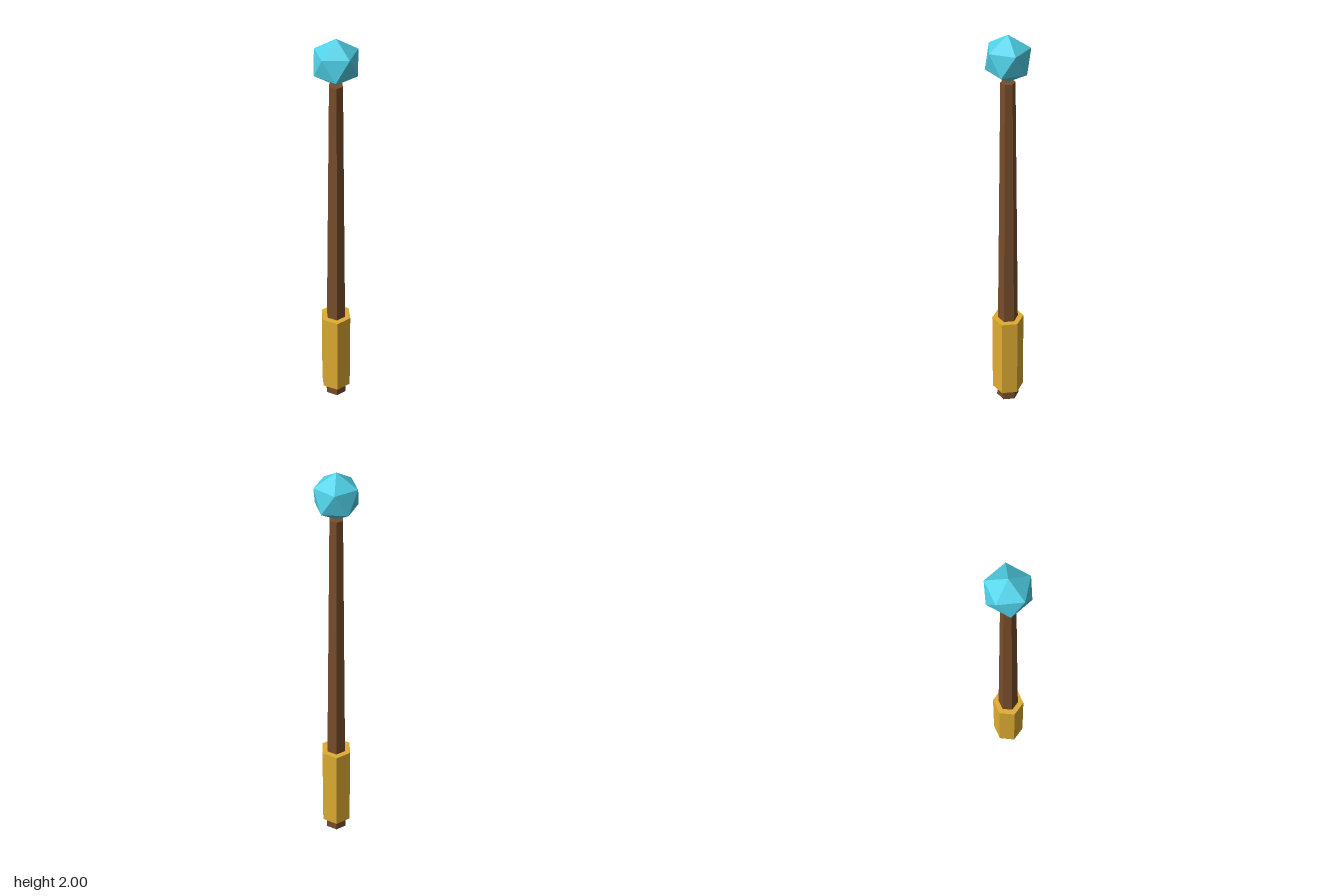
import * as THREE from 'three';

const SIDES = 6;

function addPart(group, name, geometry, color, y) {
  const material = new THREE.MeshStandardMaterial({ color, flatShading: true });
  const mesh = new THREE.Mesh(geometry, material);
  mesh.name = name;
  mesh.position.y = y;
  group.add(mesh);
}

// Hexagonal prism between two heights, with corners on +z and -z
function addRod(group, name, rTop, rBottom, y0, y1, color) {
  const geometry = new THREE.CylinderGeometry(rTop, rBottom, y1 - y0, SIDES);
  addPart(group, name, geometry, color, (y0 + y1) / 2);
}

export function createModel() {
  const group = new THREE.Group();
  group.name = 'wand';

  // Tapered wooden shaft, and the wider grip around its lower end
  addRod(group, 'shaft', 0.033, 0.055, 0, 1.78, 0x7a4d2b);
  addRod(group, 'grip', 0.077, 0.077, 0.06, 0.5, 0xe0ad33);

  // Faceted gem, turned so that it stands on one corner
  const gem = new THREE.IcosahedronGeometry(0.11, 0);
  gem.rotateZ(-Math.atan(2 / (1 + Math.sqrt(5))));
  addPart(group, 'gem', gem, 0x4fd0e7, 1.89);

  return group;
}
